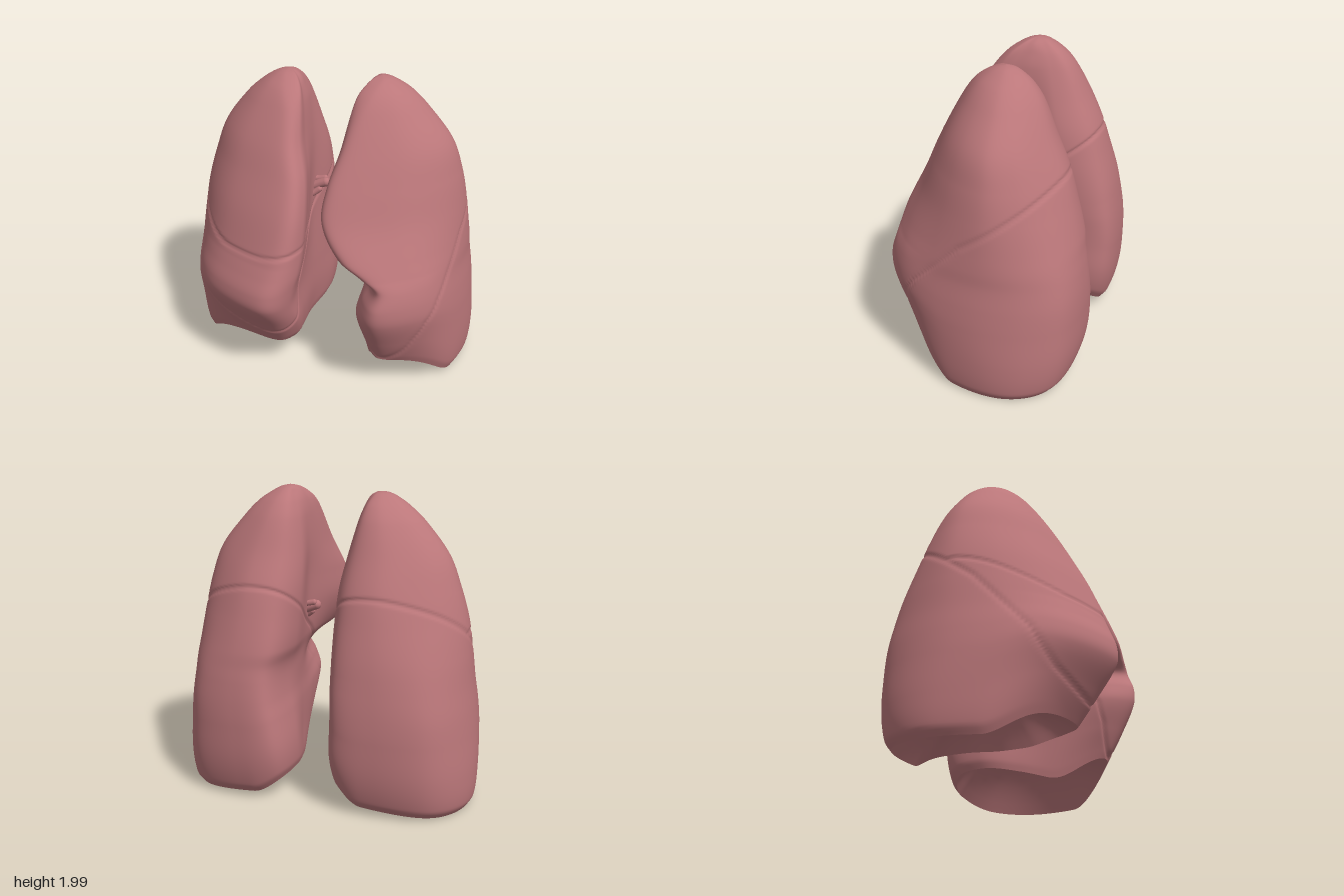
import * as THREE from 'three';

const { smoothstep, lerp } = THREE.MathUtils;
const COLS = 190, ROWS = 155, BASE_ROWS = 14;

// Cross-section keys, x measured outward from the midline:
// [height, inner back x, inner middle x, inner front x, outer x, back z, front z, front tip x]
const LEFT = {
  side: 1,
  keys: [
    [0, .20, .25, .40, .935, -.60, .42, .50],
    [.06, .18, .24, .39, .965, -.64, .45, .50],
    [.25, .18, .25, .36, .978, -.68, .53, .50],
    [.5, .21, .26, .345, .965, -.69, .62, .50],
    [.65, .235, .27, .38, .95, -.685, .625, .51],
    [.8, .245, .265, .42, .93, -.67, .585, .53],
    [.9, .235, .255, .34, .925, -.655, .58, .45],
    [1, .20, .23, .20, .915, -.64, .575, .32],
    [1.2, .18, .21, .09, .89, -.59, .50, .18],
    [1.4, .17, .20, .10, .85, -.53, .41, .18],
    [1.6, .18, .19, .15, .78, -.44, .30, .23],
    [1.8, .21, .20, .185, .62, -.35, .18, .27],
    [1.9, .24, .22, .21, .52, -.28, .10, .30],
    [1.96, .27, .25, .25, .43, -.21, .02, .32],
    [1.99, .29, .285, .285, .37, -.15, -.05, .33],
    [2, .32, .32, .32, .32, -.1, -.1, .32],
  ],
  // oblique fissure as (z, y)
  fissure: [[-.9, 1.64], [-.53, 1.4], [0, 1.03], [.33, .71], [.42, .58], [.44, .45], [.42, -.3]],
};
const RIGHT = {
  side: -1,
  keys: [
    [0, .13, .17, .14, .935, -.60, .43, .25],
    [.06, .10, .15, .11, .968, -.64, .46, .25],
    [.25, .08, .13, .085, .978, -.68, .56, .25],
    [.5, .085, .13, .09, .965, -.69, .685, .25],
    [.65, .085, .13, .075, .95, -.685, .69, .24],
    [.8, .08, .13, .05, .93, -.67, .65, .21],
    [1, .075, .13, .035, .91, -.64, .585, .17],
    [1.2, .075, .125, .035, .88, -.59, .51, .15],
    [1.4, .09, .125, .06, .825, -.53, .41, .16],
    [1.6, .13, .135, .12, .745, -.44, .30, .21],
    [1.8, .18, .16, .155, .59, -.34, .17, .24],
    [1.89, .21, .19, .18, .49, -.27, .09, .27],
    [1.945, .24, .22, .22, .41, -.2, .01, .29],
    [1.972, .27, .26, .26, .35, -.15, -.05, .30],
    [1.98, .30, .30, .30, .30, -.1, -.1, .30],
  ],
  fissure: [[-.9, 1.62], [-.55, 1.39], [0, 1], [.33, .65], [.43, .45], [.52, .345], [.6, .35], [.9, .4]],
  // horizontal fissure height across x
  horizontal: x => .945 + 1.25 * Math.max(0, x - .5) ** 2 + .35 * Math.max(0, .4 - x) ** 2,
};

// Smooth interpolation between section keys
function sectionAt(keys, y) {
  let i = 0;
  while (i < keys.length - 2 && y > keys[i + 1][0]) i++;
  const a = keys[i], b = keys[i + 1], h = b[0] - a[0], t = (y - a[0]) / h;
  const slope = (k, c) => {
    const p = keys[Math.max(0, k - 1)], q = keys[Math.min(keys.length - 1, k + 1)];
    return (q[c] - p[c]) / (q[0] - p[0]);
  };
  return a.map((v, c) =>
    v * (1 + 2 * t) * (1 - t) ** 2 + slope(i, c) * h * t * (1 - t) ** 2 +
    b[c] * t * t * (3 - 2 * t) + slope(i + 1, c) * h * t * t * (t - 1));
}

// Closed outline of one section, from the inner back corner round the front
function outline(keys, y) {
  const [, mb, mm, mf, L, back, front, fx] = sectionAt(keys, y);
  const D = front - back, W = L - mb;
  const round = smoothstep(y, .6, 1.5);         // back corners soften upward
  const fuller = .03 * (1 - smoothstep(y, 0, .4)); // outer front corner fills out at the foot
  const pts = [
    [mb + lerp(.08, .13, round) * W, back + lerp(.035, .05, round) * D],
    [mb, back + .24 * D], [mm, back + .48 * D],
    [(mm + mf) / 2, back + .7 * D], [mf, front - .1 * D], [fx, front],
    [lerp(fx, L, .55), front - .125 * D + fuller / 2],
    [lerp(fx, L, .87), front - .33 * D + fuller],
    [L, back + .42 * D],
    [L - lerp(.06, .1, round) * W, back + lerp(.2, .22, round) * D],
    [L - lerp(.25, .32, round) * W, back + lerp(.05, .08, round) * D],
    [lerp(mb, L, .4), back],
  ].map(([x, z]) => new THREE.Vector3(x, 0, z));
  const curve = new THREE.CatmullRomCurve3(pts, true, 'catmullrom', .5);
  return Array.from({ length: COLS }, (_, j) => curve.getPoint(j / COLS));
}

// Signed distance to the fissure line in (z, y); positive above and in front
function fissureDistance(line, z, y) {
  let best = Infinity, sign = 1;
  for (let i = 0; i < line.length - 1; i++) {
    const [az, ay] = line[i], dz = line[i + 1][0] - az, dy = line[i + 1][1] - ay;
    const t = THREE.MathUtils.clamp(((z - az) * dz + (y - ay) * dy) / (dz * dz + dy * dy), 0, 1);
    const d = Math.hypot(z - az - t * dz, y - ay - t * dy);
    if (d < best) {
      best = d;
      sign = dz * (y - ay) - dy * (z - az) >= 0 ? 1 : -1;
    }
  }
  return best * sign;
}

// Joins equal rings into a surface, split into one geometry per lobe
function skin(rings, side, lobeOf = () => 0) {
  const pos = [], index = [], lobes = [];
  rings.forEach(r => r.forEach(p => pos.push(p.x * side, p.y, p.z)));
  for (let i = 0; i < rings.length - 1; i++) {
    for (let j = 0; j < COLS; j++) {
      const k = (j + 1) % COLS;
      const a = i * COLS + j, b = i * COLS + k, c = a + COLS, d = b + COLS;
      const quad = side > 0 ? [a, b, c, b, d, c] : [a, c, b, b, c, d];
      index.push(...quad);
      const l = lobeOf(rings[i][j]);
      (lobes[l] ??= []).push(...quad);
    }
  }
  const whole = new THREE.BufferGeometry();
  whole.setAttribute('position', new THREE.Float32BufferAttribute(pos, 3));
  whole.setIndex(index);
  whole.computeVertexNormals();
  return lobes.map(list => whole.clone().setIndex(list));
}

const centreOf = ring => ring.reduce((s, p) => s.add(p), new THREE.Vector3()).divideScalar(COLS);

function buildLung({ side, keys, fissure, horizontal }, material) {
  const lung = new THREE.Group();
  const top = keys[keys.length - 1][0], inner = keys[0][1];
  const add = (geometry, name) => {
    const mesh = new THREE.Mesh(geometry, material);
    mesh.name = name;
    lung.add(mesh);
  };

  // Lower rim tilts up toward the inner side and rises at the front
  const rim = p => {
    const tilt = .06 * Math.max(0, .95 - p.x) / .75 +
      .11 * (1 - smoothstep(p.x, inner - .06, inner + .2));
    const front = smoothstep(p.z, .06, .42);
    return .005 + lerp(tilt, .22, front);
  };
  const lobeOf = p => {
    if (fissureDistance(fissure, p.z, p.y) < 0) return 0;
    return horizontal && p.y < horizontal(p.x) ? 2 : 1;
  };

  // Outer surface with grooves pressed in along the fissures
  const rings = [];
  for (let i = 0; i <= ROWS; i++) {
    const y = top * (1 - (1 - i / ROWS) ** 1.3);
    const ring = outline(keys, y);
    const centre = centreOf(ring);
    ring.forEach(p => {
      p.y = y < .9 ? y + rim(p) * (1 - y / .9) : y;
      const oblique = fissureDistance(fissure, p.z, p.y);
      let d = Math.abs(oblique);
      if (horizontal && oblique > 0) d = Math.min(d, Math.abs(p.y - horizontal(p.x)));
      const depth = .012 * Math.exp(-((d / .011) ** 2));
      const dx = centre.x - p.x, dz = centre.z - p.z, len = Math.hypot(dx, dz) || 1;
      p.x += dx / len * depth;
      p.z += dz / len * depth;
    });
    rings.push(ring);
  }
  const names = ['lowerLobe', 'upperLobe', 'middleLobe'];
  skin(rings, side, lobeOf).forEach((g, i) => add(g, names[i]));

  // Hollow underside
  const edge = rings[0], c = centreOf(edge);
  const base = Array.from({ length: BASE_ROWS + 1 }, (_, i) => {
    const s = i / BASE_ROWS;
    return edge.map(p => new THREE.Vector3(
      lerp(c.x, p.x, s), lerp(.4, p.y, s ** 2.4), lerp(c.z, p.z, s)));
  });
  add(skin(base, side)[0], 'underside');

  // Airway and vessel stubs at the root
  const x0 = side > 0 ? .12 : .02;
  const stub = (name, pts, r) => {
    const curve = new THREE.CatmullRomCurve3(
      pts.map(([x, y, z]) => new THREE.Vector3(x * side, y, z)));
    add(new THREE.TubeGeometry(curve, 10, r, 10), name);
    const cap = new THREE.SphereGeometry(r, 10, 6);
    cap.translate(pts[0][0] * side, pts[0][1], pts[0][2]);
    add(cap, name + 'End');
  };
  stub('bronchus', [[x0 + .03, 1.21, -.09], [x0 + .08, 1.19, -.09], [x0 + .2, 1.13, -.08]], .032);
  stub('artery', [[x0 + .04, 1.23, -.11], [x0 + .1, 1.22, -.11], [x0 + .2, 1.24, -.1]], .02);
  stub('vein', [[x0 + .07, 1.16, -.07], [x0 + .11, 1.13, -.06], [x0 + .2, 1.08, -.03]], .022);
  return lung;
}

export function createModel() {
  const tissue = new THREE.MeshStandardMaterial({ color: 0xbb777a });
  tissue.name = 'tissue pink';
  const model = new THREE.Group();
  model.name = 'lungs';
  const left = buildLung(LEFT, tissue);
  left.name = 'leftLung';
  const right = buildLung(RIGHT, tissue);
  right.name = 'rightLung';
  model.add(left, right);
  return model;
}
